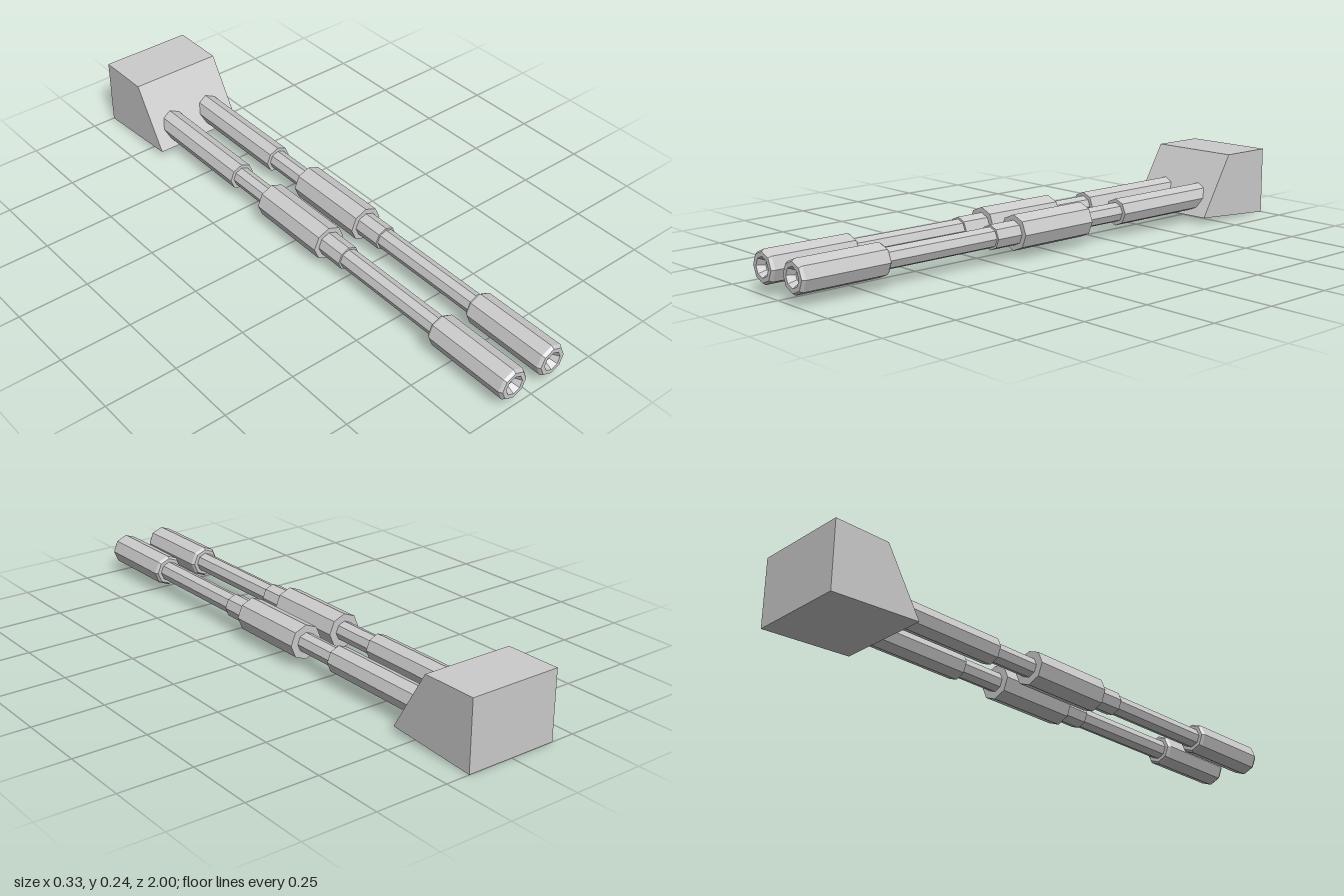
import * as THREE from 'three';

const material = new THREE.MeshStandardMaterial({ color: 0xcccccc, flatShading: true });

// Eight-sided turned part along z; profile is [radius, z] from back to front
function turned(name, profile) {
  const geometry = new THREE.LatheGeometry(profile.map(([r, z]) => new THREE.Vector2(r, z)), 8);
  geometry.rotateX(Math.PI / 2);
  const mesh = new THREE.Mesh(geometry, material);
  mesh.name = name;
  return mesh;
}

const rod = (name, radius, back, front) =>
  turned(name, [[0, back], [radius, back], [radius, front], [0, front]]);

function createBarrel(name) {
  const barrel = new THREE.Group();
  barrel.name = name;
  barrel.add(
    rod('breech', 0.047, -0.76, -0.31),
    rod('rearBarrel', 0.034, -0.32, -0.13),
    rod('sleeve', 0.06, -0.14, 0.16),
    rod('collar', 0.042, 0.15, 0.26),
    rod('frontBarrel', 0.035, 0.25, 0.7),
    // Muzzle with bevelled ends and a tapered bore
    turned('muzzle', [
      [0, 0.685], [0.048, 0.685], [0.055, 0.695], [0.055, 0.99],
      [0.048, 1], [0.033, 1], [0.02, 0.975], [0, 0.975],
    ]),
  );
  return barrel;
}

export function createModel() {
  const model = new THREE.Group();
  model.name = 'twinBarrelGun';

  // Wedge-shaped mount: side profile in (-z, y), extruded across x
  const profile = new THREE.Shape([
    [1, 0], [1, 0.237], [0.805, 0.237], [0.677, 0.022],
  ].map(([z, y]) => new THREE.Vector2(z, y)));
  const width = 0.33;
  const geometry = new THREE.ExtrudeGeometry(profile, { depth: width, bevelEnabled: false });
  geometry.translate(0, 0, -width / 2);
  geometry.rotateY(Math.PI / 2);
  const mount = new THREE.Mesh(geometry, material);
  mount.name = 'mount';
  model.add(mount);

  // Pair of barrels
  for (const side of [-1, 1]) {
    const barrel = createBarrel(side > 0 ? 'leftBarrel' : 'rightBarrel');
    barrel.position.set(side * 0.079, 0.084, 0);
    model.add(barrel);
  }
  return model;
}
